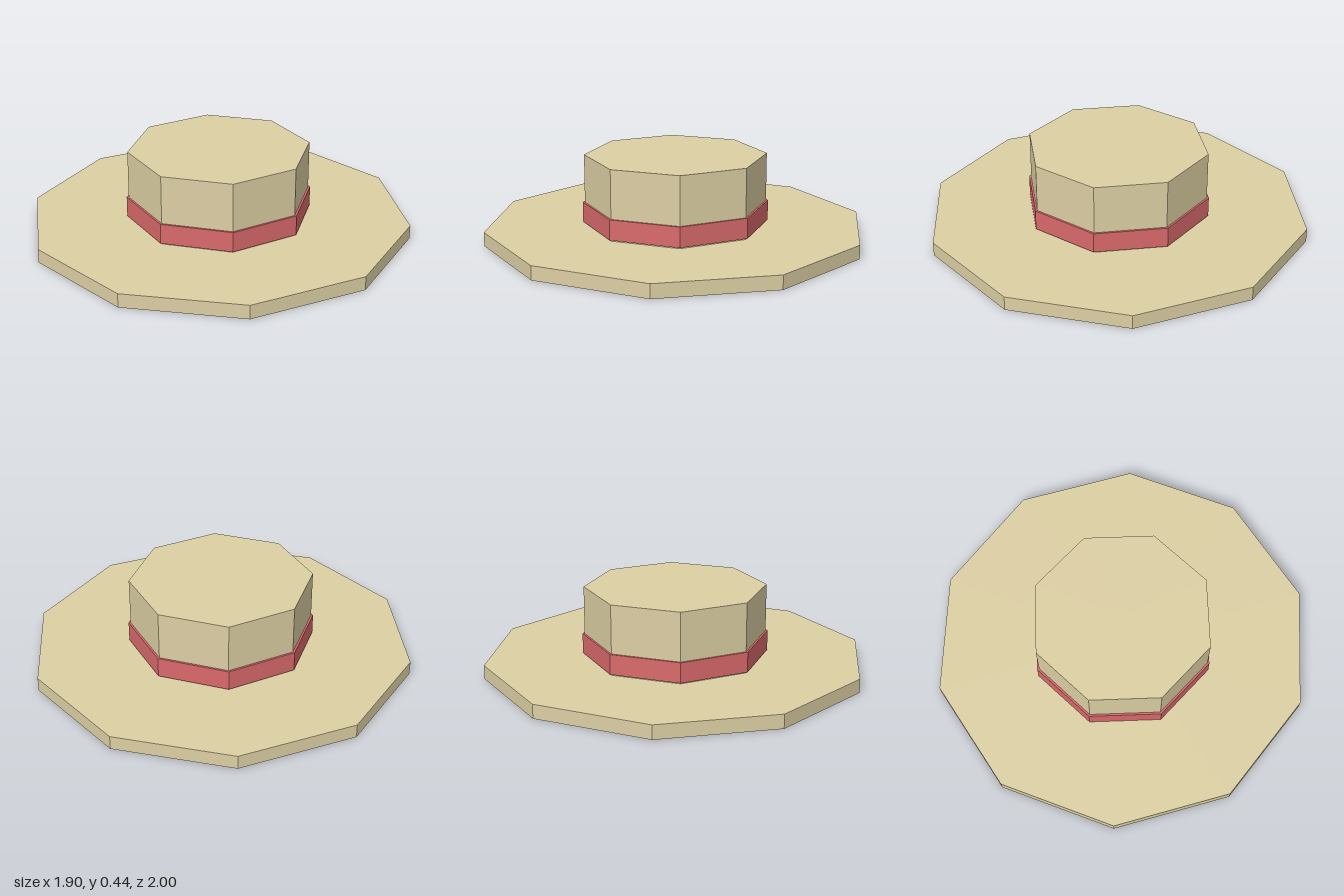
import * as THREE from 'three';

export function createModel() {
  const hat = new THREE.Group();
  hat.name = 'hat';

  const straw = new THREE.MeshStandardMaterial({ color: 0xdccfa3 });
  straw.name = 'straw';
  const red = new THREE.MeshStandardMaterial({ color: 0xd9696b });
  red.name = 'red ribbon';

  // Faceted prism between two heights, with a corner facing the front
  function prism(name, radius, sides, bottom, top, material) {
    const geometry = new THREE.CylinderGeometry(radius, radius, top - bottom, sides).toNonIndexed();
    geometry.computeVertexNormals();
    const mesh = new THREE.Mesh(geometry, material);
    mesh.name = name;
    mesh.position.y = (bottom + top) / 2;
    hat.add(mesh);
  }

  prism('brim', 1, 10, 0, 0.073, straw);
  prism('crown', 0.475, 8, 0.06, 0.44, straw);
  prism('band', 0.486, 8, 0.08, 0.186, red);

  return hat;
}
